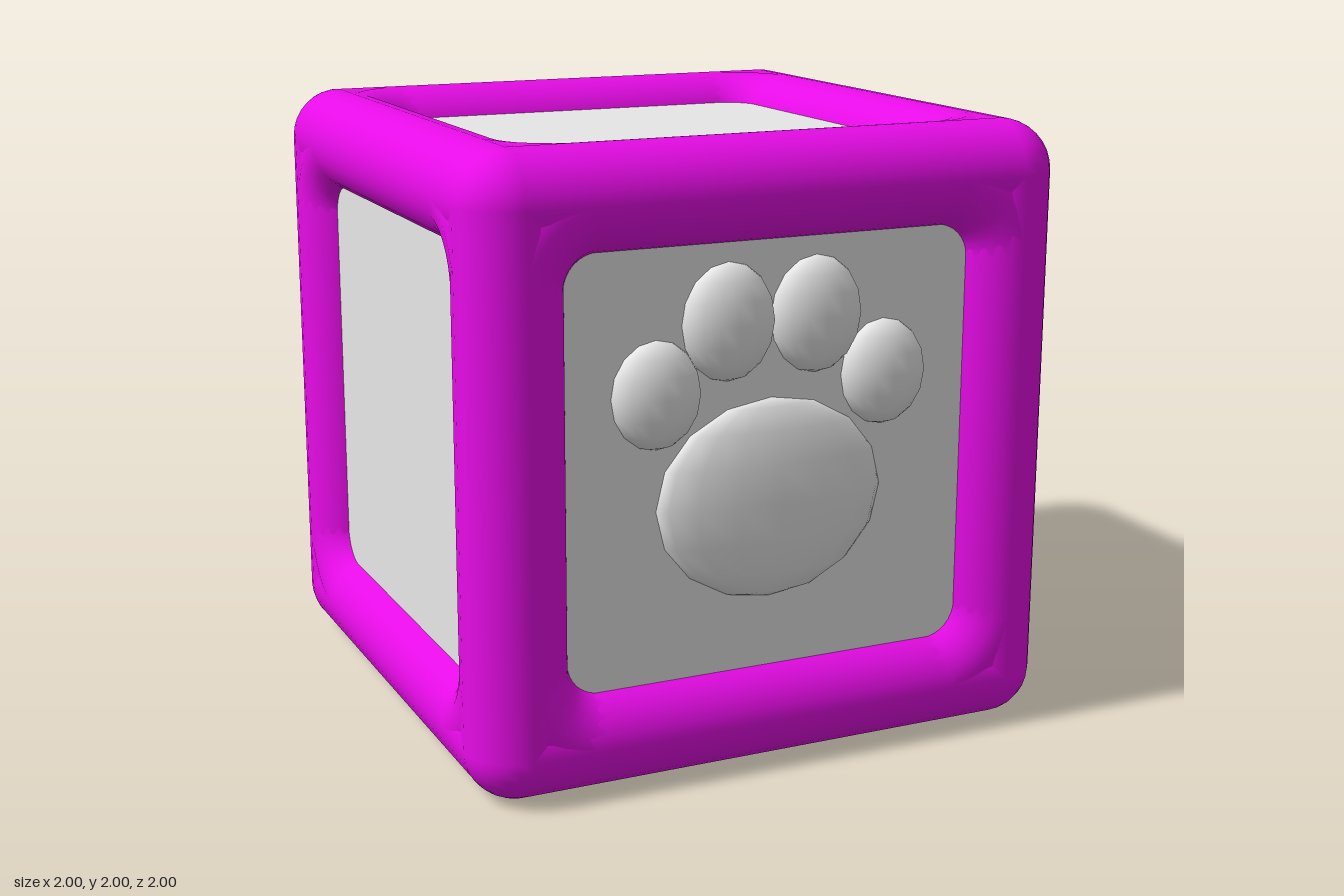
import * as THREE from 'three';

const EDGE = 0.835;   // beam centre line distance from the cube centre
const R = 0.165;      // beam radius
const FACE = 0.9;     // panel distance from the cube centre

export function createModel() {
  const magenta = new THREE.MeshStandardMaterial({ color: 0xe70ce7 });
  magenta.name = 'magentaFrame';
  const white = new THREE.MeshStandardMaterial({ color: 0xe7e7e7 });
  white.name = 'paleGrey';

  const model = new THREE.Group();
  model.name = 'pawCube';
  const cube = new THREE.Group();
  cube.name = 'cube';
  cube.position.y = 1;
  model.add(cube);

  const add = (parent, name, geometry, material) => {
    const mesh = new THREE.Mesh(geometry, material);
    mesh.name = name;
    parent.add(mesh);
    return mesh;
  };

  // Inner block whose six faces are the panels
  add(cube, 'panels', new THREE.BoxGeometry(FACE * 2, FACE * 2, FACE * 2), white);

  // Twelve round beams along the edges
  const beam = new THREE.CylinderGeometry(R, R, EDGE * 2, 24, 1, true);
  const turns = [[0, 0, 0], [Math.PI / 2, 0, 0], [0, 0, Math.PI / 2]];
  for (const turn of turns) {
    for (const a of [-EDGE, EDGE]) {
      for (const b of [-EDGE, EDGE]) {
        const mesh = add(cube, 'frameBeam', beam, magenta);
        mesh.rotation.set(...turn);
        mesh.position.set(a, 0, b).applyEuler(mesh.rotation);
      }
    }
  }

  // Eight rounded corners
  const ball = new THREE.SphereGeometry(R, 24, 16);
  for (const x of [-EDGE, EDGE])
    for (const y of [-EDGE, EDGE])
      for (const z of [-EDGE, EDGE])
        add(cube, 'frameCorner', ball, magenta).position.set(x, y, z);

  // Curved fillets that round the four inner corners of every opening
  const bend = 0.26;
  const elbow = new THREE.TorusGeometry(bend, R - 0.001, 20, 8, Math.PI / 2);
  elbow.translate(EDGE - bend, EDGE - bend, EDGE);
  const sides = [[0, 0], [0, 1], [0, 2], [0, 3], [1, 0], [-1, 0]];
  for (const [tilt, spin] of sides) {
    const face = new THREE.Group();
    face.name = 'openingFillets';
    face.rotation.set(tilt * Math.PI / 2, spin * Math.PI / 2, 0);
    for (let i = 0; i < 4; i++)
      add(face, 'fillet', elbow, magenta).rotation.z = i * Math.PI / 2;
    cube.add(face);
  }

  // Paw reliefs: x, y, half width, half height of each pad
  const pads = [
    ['mainPad', 0, -0.132, 0.39, 0.322],
    ['outerToe', 0.39, 0.235, 0.147, 0.17],
    ['innerToe', 0.15, 0.44, 0.155, 0.185],
    ['innerToe', -0.15, 0.44, 0.155, 0.185],
    ['outerToe', -0.39, 0.235, 0.147, 0.17],
  ];
  const padShape = new THREE.SphereGeometry(1, 16, 8);
  const addPaw = (name, side, list) => {
    const paw = new THREE.Group();
    paw.name = name;
    for (const [part, x, y, w, h] of list) {
      const mesh = add(paw, part, padShape, white);
      mesh.position.set(x, y, side * FACE);
      mesh.scale.set(w, h, 0.08);
    }
    cube.add(paw);
  };
  addPaw('frontPaw', 1, pads);
  addPaw('backPaw', -1, pads.slice(0, 4)); // three toes on the back

  return model;
}
